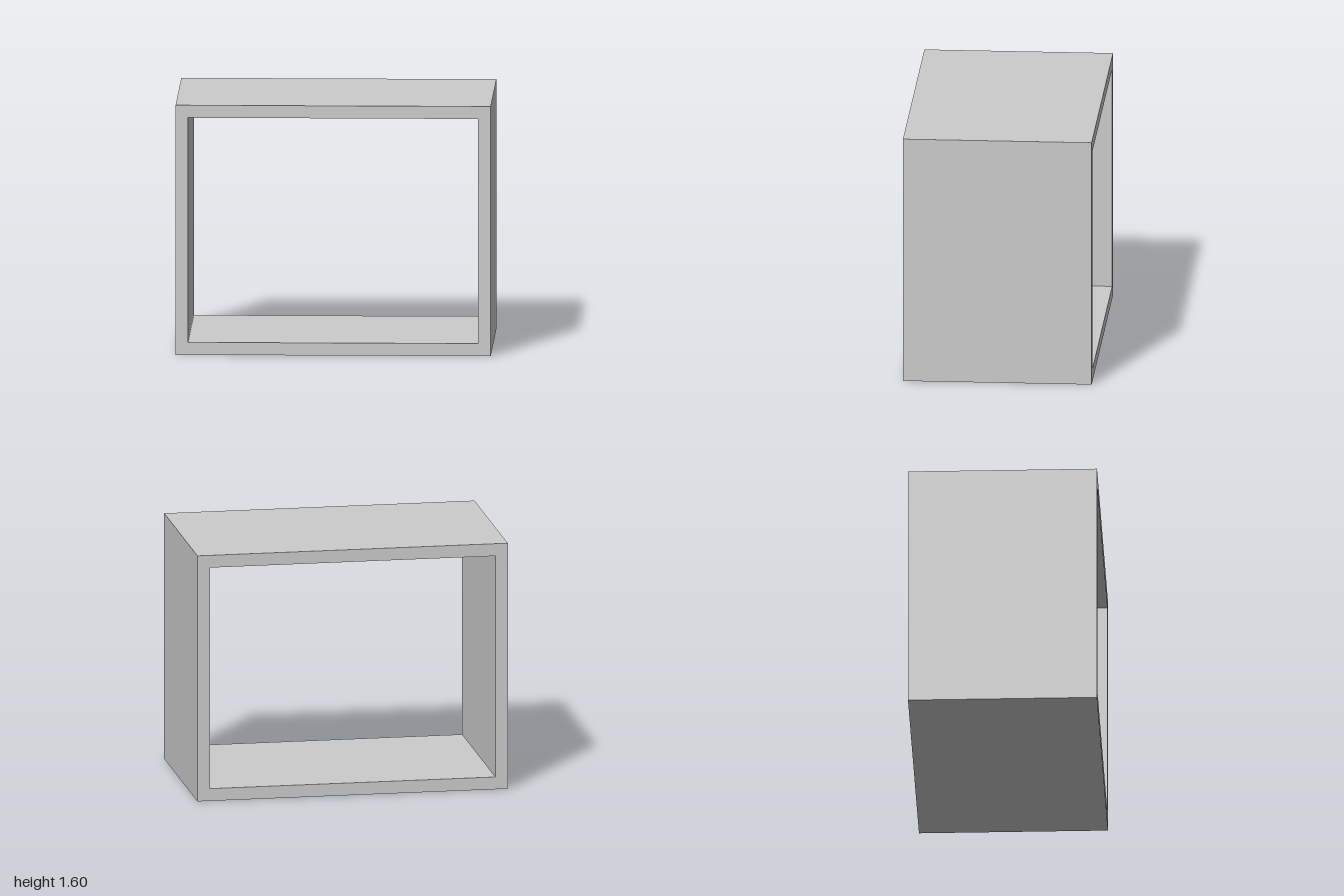
import * as THREE from 'three';

const WIDTH = 2, HEIGHT = 1.6, DEPTH = 1.2, WALL = 0.08;

// Closed rectangle centred on x = 0, inset from the outer outline
function rectangle(path, inset) {
  const x = WIDTH / 2 - inset, bottom = inset, top = HEIGHT - inset;
  path.moveTo(-x, bottom);
  path.lineTo(x, bottom);
  path.lineTo(x, top);
  path.lineTo(-x, top);
  path.closePath();
  return path;
}

export function createModel() {
  const group = new THREE.Group();
  group.name = 'openBox';

  // Four walls as one frame, open at front and back
  const outline = rectangle(new THREE.Shape(), 0);
  outline.holes.push(rectangle(new THREE.Path(), WALL));
  const geometry = new THREE.ExtrudeGeometry(outline, { depth: DEPTH, bevelEnabled: false });
  geometry.translate(0, 0, -DEPTH / 2);

  const frame = new THREE.Mesh(geometry, new THREE.MeshStandardMaterial({ color: 0xcccccc }));
  frame.name = 'frame';
  group.add(frame);
  return group;
}
